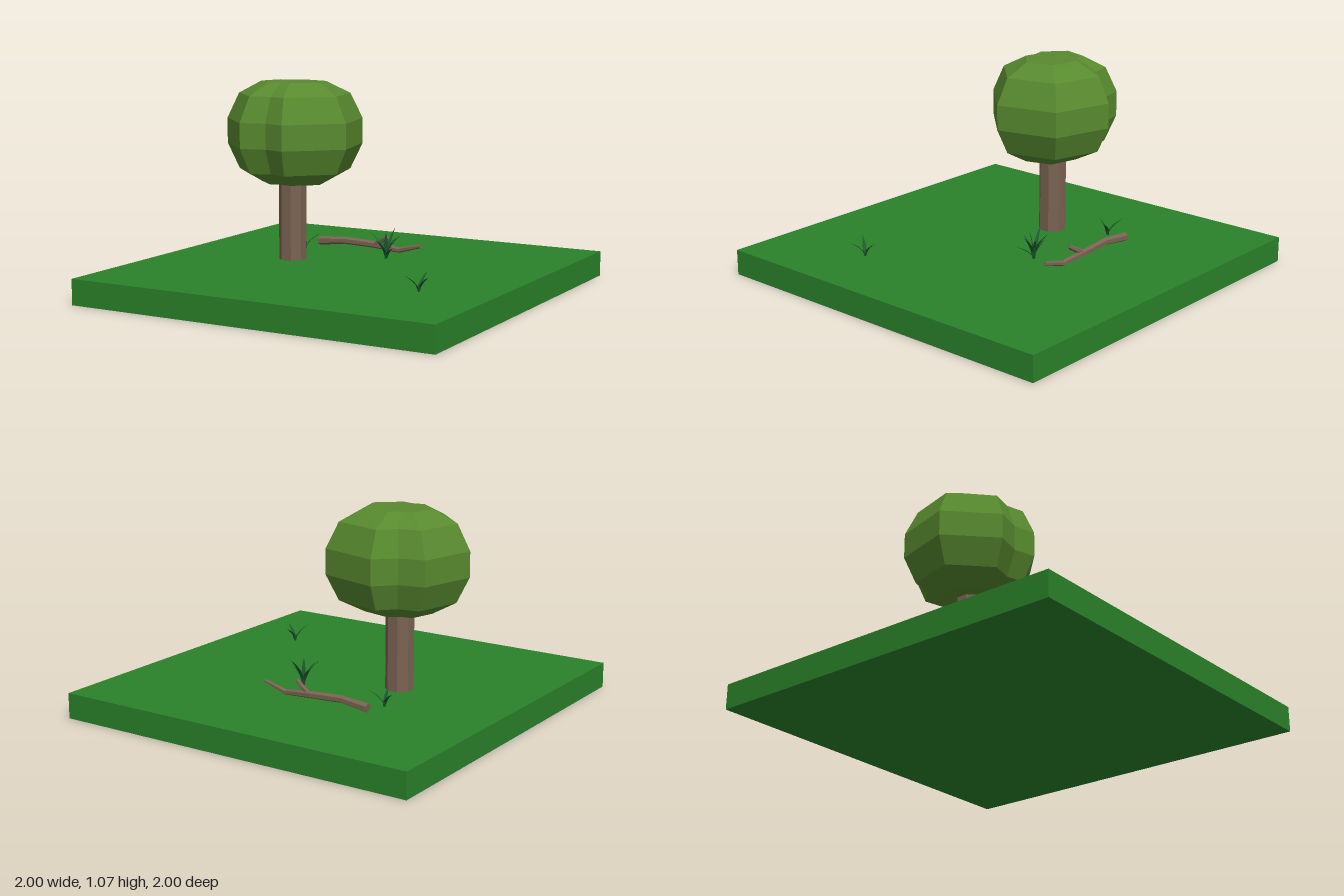
import * as THREE from 'three';

const mat = (color, side = THREE.FrontSide) =>
  new THREE.MeshStandardMaterial({ color, flatShading: true, side });
const GRASS = mat(0x1c5a2c, THREE.DoubleSide);
const BARK = mat(0x7a6352);
const LEAF = mat(0x588a2f);
const GROUND = mat(0x2a822a);
const TOP = 0.133; // ground surface height

function mesh(name, geometry, material) {
  const m = new THREE.Mesh(geometry, material);
  m.name = name;
  return m;
}

// Skin equal-sized rings of Vector3 and close both ends
function loft(rings) {
  const n = rings[0].length, pos = [], idx = [];
  rings.forEach(r => r.forEach(p => pos.push(p.x, p.y, p.z)));
  for (let j = 0; j < rings.length - 1; j++) {
    for (let i = 0; i < n; i++) {
      const a = j * n + i, b = j * n + (i + 1) % n;
      idx.push(a, a + n, b + n, a, b + n, b);
    }
  }
  const last = (rings.length - 1) * n;
  for (const [ring, start] of [[rings[0], 0], [rings[rings.length - 1], last]]) {
    const c = ring.reduce((s, p) => s.add(p), new THREE.Vector3()).divideScalar(n);
    const k = pos.length / 3;
    pos.push(c.x, c.y, c.z);
    for (let i = 0; i < n; i++) {
      const a = start + i, b = start + (i + 1) % n;
      if (start === 0) idx.push(k, a, b); else idx.push(k, b, a);
    }
  }
  const g = new THREE.BufferGeometry();
  g.setAttribute('position', new THREE.Float32BufferAttribute(pos, 3));
  g.setIndex(idx);
  const flat = g.toNonIndexed();
  flat.computeVertexNormals();
  return flat;
}

// Tapered stick through points given as [x, y, z, radius]
function stick(points, sides = 6) {
  const centres = points.map(p => new THREE.Vector3(p[0], p[1], p[2]));
  const side = new THREE.Vector3(0, 0, 1);
  return loft(points.map((p, j) => {
    const a = centres[Math.max(j - 1, 0)], b = centres[Math.min(j + 1, points.length - 1)];
    const d = b.clone().sub(a).normalize();
    const u = d.clone().cross(side).normalize(), v = d.clone().cross(u);
    return Array.from({ length: sides }, (_, i) => {
      const t = i / sides * Math.PI * 2;
      return centres[j].clone()
        .addScaledVector(u, Math.cos(t) * p[3])
        .addScaledVector(v, -Math.sin(t) * p[3]);
    });
  }));
}

// Arching, folded leaf that ends at offset (dx, height, dz) from its root
function blade(dx, height, dz, width) {
  const steps = 4, pos = [], idx = [];
  const r = Math.hypot(dx, dz), px = -dz / r, pz = dx / r;
  for (let i = 0; i <= steps; i++) {
    const t = i / steps, out = Math.pow(t, 1.5);
    const w = width * (1 - t) * (0.55 + 1.6 * t), y = height * Math.pow(t, 0.85);
    for (const s of [-1, 0, 1]) {
      pos.push(dx * out + px * w * s, y + Math.abs(s) * w * 0.4, dz * out + pz * w * s);
    }
  }
  for (let i = 0; i < steps; i++) {
    for (const k of [0, 1]) {
      const a = i * 3 + k;
      idx.push(a, a + 1, a + 4, a, a + 4, a + 3);
    }
  }
  const g = new THREE.BufferGeometry();
  g.setAttribute('position', new THREE.Float32BufferAttribute(pos, 3));
  g.setIndex(idx);
  g.computeVertexNormals();
  return g;
}

function tuft(name, x, z, tips, width) {
  const g = new THREE.Group();
  g.name = name;
  g.position.set(x, TOP, z);
  tips.forEach(([dx, h, dz]) => g.add(mesh('grassBlade', blade(dx, h, dz, width), GRASS)));
  return g;
}

export function createModel() {
  const model = new THREE.Group();
  model.name = 'treeScene';

  // Square ground slab
  const ground = mesh('ground', new THREE.BoxGeometry(2, TOP, 2), GROUND);
  ground.position.y = TOP / 2;
  model.add(ground);

  // Eight-sided trunk
  const trunk = mesh('trunk', new THREE.CylinderGeometry(0.073, 0.073, 0.47, 8), BARK);
  trunk.rotation.y = Math.PI / 8;
  trunk.position.set(-0.335, TOP + 0.235, 0);
  model.add(trunk);

  // Crown: one irregular outline, drawn in towards the top and bottom
  const outline = [
    [-0.375, -0.335], [-0.055, -0.25], [0.027, 0.07], [-0.21, 0.307], [-0.326, 0.275],
    [-0.46, 0.307], [-0.68, 0.09], [-0.604, -0.21], [-0.47, -0.24],
  ];
  const levels = [
    [0.54, 0.49, 0.43], [0.605, 0.82, 0.82], [0.738, 1, 1],
    [0.87, 1, 1], [1.003, 0.82, 0.82], [1.068, 0.49, 0.43],
  ];
  const cx = -0.327;
  model.add(mesh('crown', loft(levels.map(([y, sx, sz]) =>
    outline.map(([x, z]) => new THREE.Vector3(cx + (x - cx) * sx, y, z * sz)))), LEAF));

  // Fallen branch with a side twig
  const branch = new THREE.Group();
  branch.name = 'fallenBranch';
  branch.add(mesh('branchStem', stick([
    [-0.42, 0.158, -0.422, 0.024], [-0.26, 0.174, -0.416, 0.02], [-0.08, 0.166, -0.422, 0.019],
    [0.08, 0.15, -0.412, 0.015], [0.21, 0.183, -0.404, 0.01],
  ]), BARK));
  branch.add(mesh('branchTwig', stick([
    [-0.075, 0.165, -0.42, 0.015], [-0.03, 0.19, -0.412, 0.014], [0.016, 0.217, -0.398, 0.011],
  ]), BARK));
  model.add(branch);

  // Grass: one dense tuft and two small ones
  model.add(tuft('largeGrassTuft', 0.095, -0.235, [
    [0.005, 0.155, -0.095], [0.085, 0.135, -0.008], [0.07, 0.07, 0.055], [-0.015, 0.11, 0.085],
    [-0.09, 0.15, 0.03], [-0.06, 0.105, -0.035], [0.04, 0.12, -0.045], [0.01, 0.145, 0.02],
  ], 0.014));
  model.add(tuft('backGrassTuft', -0.435, -0.297, [
    [-0.075, 0.088, -0.05], [0.075, 0.085, -0.035], [0.01, 0.085, 0.05],
  ], 0.013));
  model.add(tuft('frontGrassTuft', 0.63, 0.435, [
    [0.003, 0.088, -0.083], [0.074, 0.085, 0.037], [-0.047, 0.088, 0.066],
  ], 0.013));

  return model;
}
